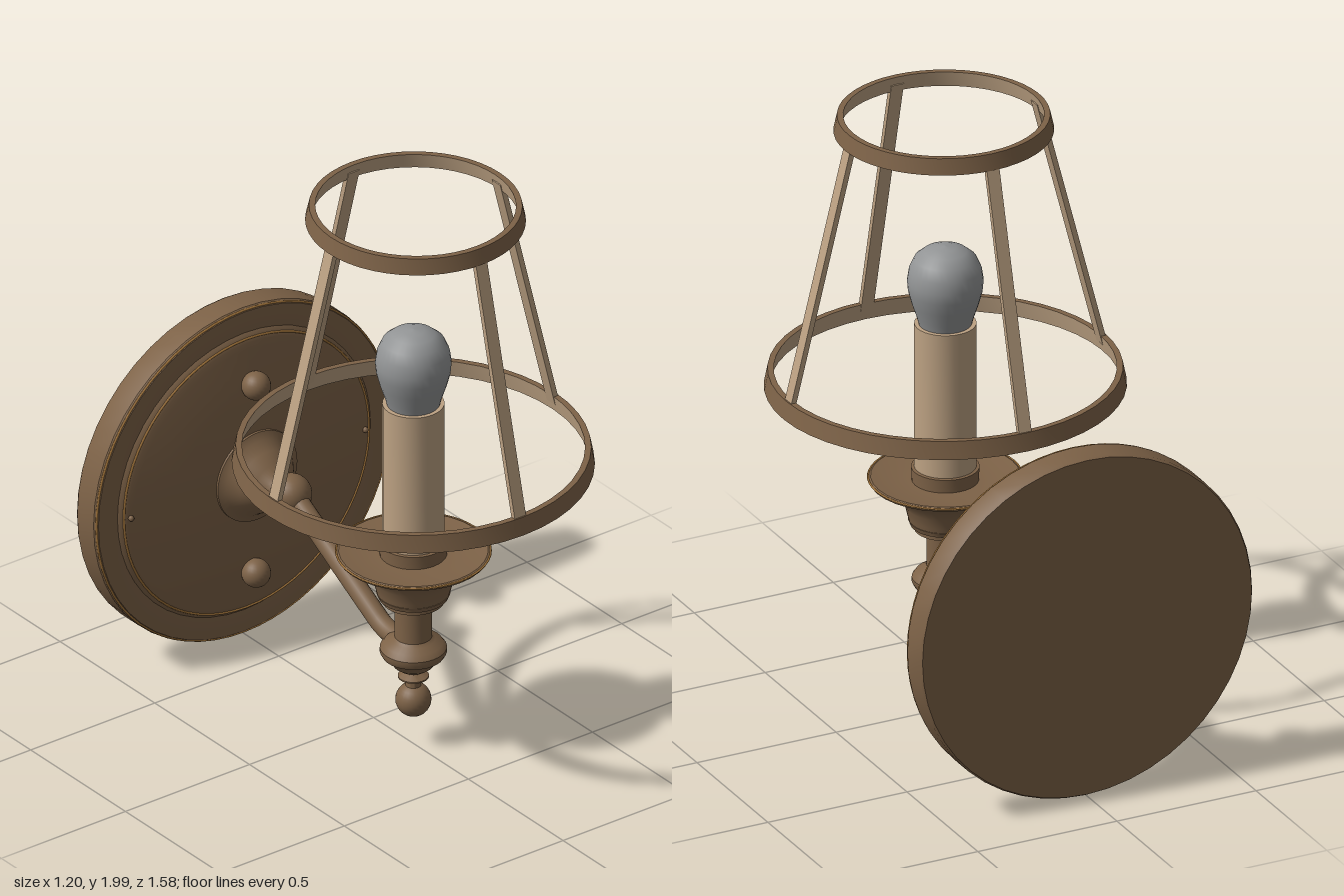
import * as THREE from 'three';
import { toCreasedNormals } from 'three/addons/utils/BufferGeometryUtils.js';

const mat = (name, color) => Object.assign(new THREE.MeshStandardMaterial({ color }), { name });

export function createModel() {
  const bronze = mat('bronze', 0x7d6247);
  const tan = mat('tan', 0xbda283);
  const glass = mat('frosted bulb', 0x929495);
  const gold = mat('rubbed gold edge', 0xa0733a);

  const model = new THREE.Group();
  model.name = 'wallLamp';
  const AXIS = 0.21; // z of the candle axis

  const add = (parent, name, geometry, material, x = 0, y = 0, z = 0) => {
    const m = new THREE.Mesh(geometry, material);
    m.name = name;
    m.position.set(x, y, z);
    parent.add(m);
    return m;
  };
  const lathe = (pts, segments = 32) => toCreasedNormals(
    new THREE.LatheGeometry(pts.map(p => new THREE.Vector2(p[0], p[1])), segments), 0.6);
  const ball = r => new THREE.SphereGeometry(r, 24, 16);

  // Wall plate: profiles run from the wall towards the front
  const plate = new THREE.Group();
  plate.name = 'wallPlate';
  plate.position.set(0, 0.6, -0.79);
  model.add(plate);
  const turned = (name, pts, material, y = 0) => {
    add(plate, name, lathe(pts, 48), material, 0, y).rotation.x = Math.PI / 2;
  };
  turned('backplate', [[0, 0], [0.592, 0], [0.598, 0.01], [0.598, 0.095], [0.588, 0.108], [0.535, 0.11],
    [0.51, 0.106], [0.497, 0.118], [0.48, 0.122], [0.46, 0.128], [0.3, 0.152], [0.17, 0.17], [0, 0.172]], bronze);
  turned('mountBoss', [[0.16, 0.15], [0.16, 0.178], [0.135, 0.19], [0.11, 0.225], [0.08, 0.26],
    [0.055, 0.285], [0.045, 0.31], [0, 0.31]], bronze, 0.015);
  for (const [r, z] of [[0.592, 0.103], [0.494, 0.119]]) {
    add(plate, 'goldEdge', new THREE.TorusGeometry(r, 0.004, 6, 64), gold, 0, 0, z);
  }
  for (const s of [-1, 1]) {
    add(plate, 'knob', ball(0.048), bronze, 0, s * 0.345, 0.17);
    const stem = add(plate, 'knobStem', new THREE.CylinderGeometry(0.025, 0.025, 0.06, 16), bronze, 0, s * 0.345, 0.13);
    stem.rotation.x = Math.PI / 2;
    add(plate, 'screw', new THREE.SphereGeometry(0.01, 10, 8), bronze, s * 0.472, 0, 0.129);
  }

  // Arm with its ball joint
  add(model, 'jointBall', ball(0.068), bronze, 0, 0.63, -0.435);
  const V = (y, z) => new THREE.Vector3(0, y, z);
  const path = new THREE.CurvePath();
  path.add(new THREE.LineCurve3(V(0.63, -0.42), V(0.375, 0.03)));
  path.add(new THREE.QuadraticBezierCurve3(V(0.375, 0.03), V(0.355, 0.07), V(0.355, 0.12)));
  path.add(new THREE.LineCurve3(V(0.355, 0.12), V(0.355, AXIS)));
  add(model, 'arm', new THREE.TubeGeometry(path, 40, 0.035, 14), bronze);

  // Turned lamp body on the candle axis
  const lamp = new THREE.Group();
  lamp.name = 'lampBody';
  lamp.position.z = AXIS;
  model.add(lamp);
  add(lamp, 'finialBall', ball(0.058), bronze, 0, 0.167);
  add(lamp, 'stem', lathe([[0, 0.2], [0.026, 0.21], [0.024, 0.235], [0.05, 0.25], [0.05, 0.255], [0.026, 0.268],
    [0.045, 0.28], [0.065, 0.295], [0.08, 0.32], [0.1, 0.33], [0.108, 0.345], [0.108, 0.36], [0.095, 0.378],
    [0.07, 0.39], [0.06, 0.4], [0.06, 0.525], [0.1, 0.53], [0.1, 0.545], [0.113, 0.548], [0.12, 0.565],
    [0, 0.565]]), bronze);
  add(lamp, 'dripDish', lathe([[0, 0.555], [0.115, 0.555], [0.122, 0.58], [0.13, 0.615], [0.15, 0.65],
    [0.185, 0.682], [0.245, 0.703], [0.25, 0.712], [0.24, 0.717], [0.17, 0.706], [0.11, 0.704], [0, 0.704]]), bronze);
  add(lamp, 'dishEdge', new THREE.TorusGeometry(0.248, 0.0035, 6, 48), gold, 0, 0.713).rotation.x = Math.PI / 2;
  add(lamp, 'candleCollar', lathe([[0.108, 0.7], [0.11, 0.75], [0.098, 0.752]]), bronze);
  add(lamp, 'candle', lathe([[0.1, 0.72], [0.1, 1.258], [0, 1.258]]), tan);
  add(lamp, 'bulb', new THREE.LatheGeometry([[0.085, 1.255], [0.093, 1.285], [0.108, 1.33], [0.12, 1.375],
    [0.123, 1.41], [0.117, 1.45], [0.1, 1.488], [0.07, 1.513], [0.035, 1.526], [0, 1.53]]
    .map(p => new THREE.Vector2(...p)), 32), glass);

  // Open shade frame, leaning very slightly
  const shade = new THREE.Group();
  shade.name = 'shadeFrame';
  shade.position.set(0, 1.07, AXIS);
  shade.rotation.x = 0.013;
  model.add(shade);
  const hoop = (name, r, y, h) => {
    const lo = y - h / 2, hi = y + h / 2, t = 0.02;
    add(shade, name, lathe([[r - t, lo], [r, lo], [r - 0.012, hi], [r - t - 0.012, hi]], 48), bronze);
    add(shade, name + 'Lining', lathe([[r - t - 0.012, hi], [r - t, lo]], 48), tan);
  };
  hoop('lowerHoop', 0.582, 0, 0.06);
  hoop('upperHoop', 0.354, 0.895, 0.054);

  // Four flat bars join the hoops
  const dx = 0.563 - 0.333, dy = 0.895;
  for (let i = 0; i < 4; i++) {
    const pivot = new THREE.Group();
    pivot.name = 'shadeBar';
    pivot.rotation.y = i * Math.PI / 2;
    shade.add(pivot);
    const bar = add(pivot, 'bar', new THREE.BoxGeometry(0.018, Math.hypot(dx, dy), 0.045), tan, 0.448, dy / 2);
    bar.rotation.z = Math.atan2(dx, dy);
  }
  return model;
}
